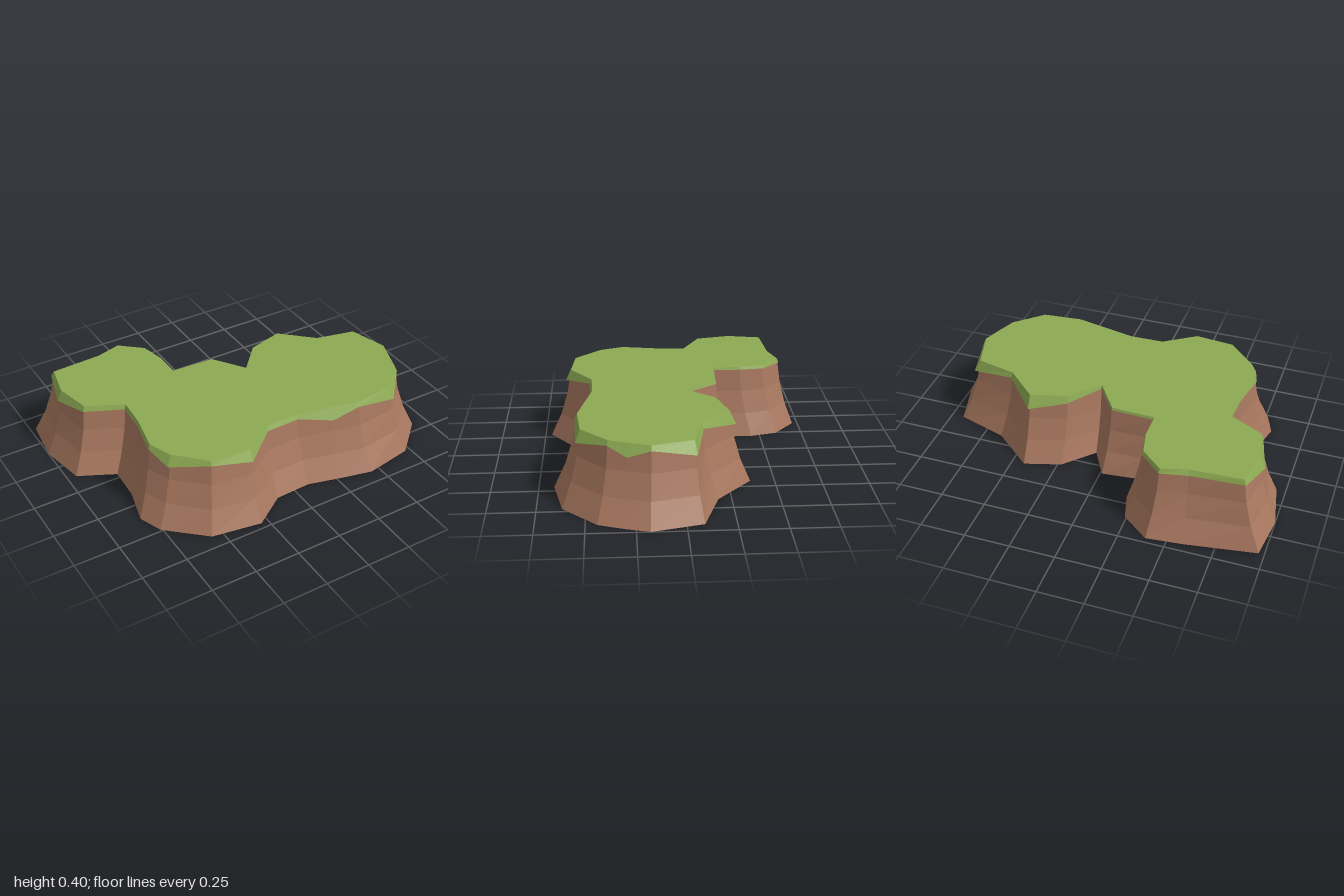
import * as THREE from 'three';

// Outline stations round the plateau: [baseX, baseZ, topX, topZ, grass overhang drop]
const stations = [
  [-0.97, -0.64, -0.85, -0.565, 0.03],
  [-0.59, -0.70, -0.57, -0.58, 0.03],
  [-0.39, -0.72, -0.43, -0.62, 0.025],
  [-0.24, -0.60, -0.31, -0.515, 0.02],
  [-0.20, -0.45, -0.28, -0.38, 0.015],
  [-0.20, -0.29, -0.28, -0.23, 0.015],
  [-0.01, -0.31, -0.04, -0.22, 0.015],
  [0.08, -0.15, 0.08, -0.045, 0.02],
  [0.23, -0.31, 0.22, -0.20, 0.04],
  [0.43, -0.37, 0.42, -0.255, 0.075],
  [0.65, -0.18, 0.59, -0.095, 0.03],
  [0.93, -0.09, 0.81, -0.045, 0.07],
  [1.00, 0.18, 0.87, 0.17, 0.025],
  [0.96, 0.31, 0.83, 0.28, 0.065],
  [0.91, 0.44, 0.79, 0.38, 0.025],
  [0.72, 0.62, 0.64, 0.52, 0.065],
  [0.45, 0.67, 0.42, 0.54, 0.025],
  [0.28, 0.63, 0.26, 0.505, 0.065],
  [0.09, 0.58, 0.08, 0.465, 0.025],
  [-0.11, 0.59, -0.11, 0.47, 0.025],
  [-0.29, 0.715, -0.285, 0.59, 0.06],
  [-0.56, 0.67, -0.50, 0.57, 0.025],
  [-0.76, 0.49, -0.65, 0.42, 0.06],
  [-0.81, 0.36, -0.70, 0.29, 0.025],
  [-0.76, 0.16, -0.66, 0.08, 0.025],
  [-0.75, -0.03, -0.65, -0.08, 0.025],
  [-0.95, -0.13, -0.845, -0.18, 0.03],
  [-1.00, -0.39, -0.89, -0.375, 0.06],
];
const HEIGHT = 0.4;

// Point on the slope of a station: t = 0 at the base outline, 1 at the top outline
const slopePoint = ([bx, bz, tx, tz], t, y) =>
  [bx + (tx - bx) * t, y, bz + (tz - bz) * t];

// Faceted band joining closed rings, listed from low to high
function loft(rings) {
  const positions = [];
  for (let r = 0; r < rings.length - 1; r++) {
    const low = rings[r], high = rings[r + 1];
    low.forEach((a, i) => {
      const j = (i + 1) % low.length;
      positions.push(...low[j], ...a, ...high[i], ...low[j], ...high[i], ...high[j]);
    });
  }
  const geometry = new THREE.BufferGeometry();
  geometry.setAttribute('position', new THREE.Float32BufferAttribute(positions, 3));
  geometry.computeVertexNormals();
  return geometry;
}

export function createModel() {
  const soil = new THREE.MeshStandardMaterial({ color: 0xa9785f, side: THREE.DoubleSide });
  soil.name = 'soil brown';
  const grass = new THREE.MeshStandardMaterial({ color: 0x8caa52, side: THREE.DoubleSide });
  grass.name = 'grass green';

  const group = new THREE.Group();
  group.name = 'grassyPlateau';
  const add = (name, geometry, material) => {
    const mesh = new THREE.Mesh(geometry, material);
    mesh.name = name;
    group.add(mesh);
  };

  // Flared earth wall, open underneath
  const profile = [[0, 0], [0.48, 0.13], [0.8, 0.26], [0.97, 0.388]];
  add('earthWall', loft(profile.map(([t, y]) => stations.map(s => slopePoint(s, t, y)))), soil);

  // Ragged grass rim: deeper drops hang further out
  add('grassRim', loft([
    stations.map(s => slopePoint(s, 1 - s[4] * 4, HEIGHT - s[4])),
    stations.map(s => slopePoint(s, 1, HEIGHT)),
  ]), grass);

  // Flat grass top
  const outline = new THREE.Shape(stations.map(s => new THREE.Vector2(s[2], -s[3])));
  const top = new THREE.ShapeGeometry(outline);
  top.rotateX(-Math.PI / 2).translate(0, HEIGHT, 0);
  add('grassTop', top, grass);

  return group;
}
